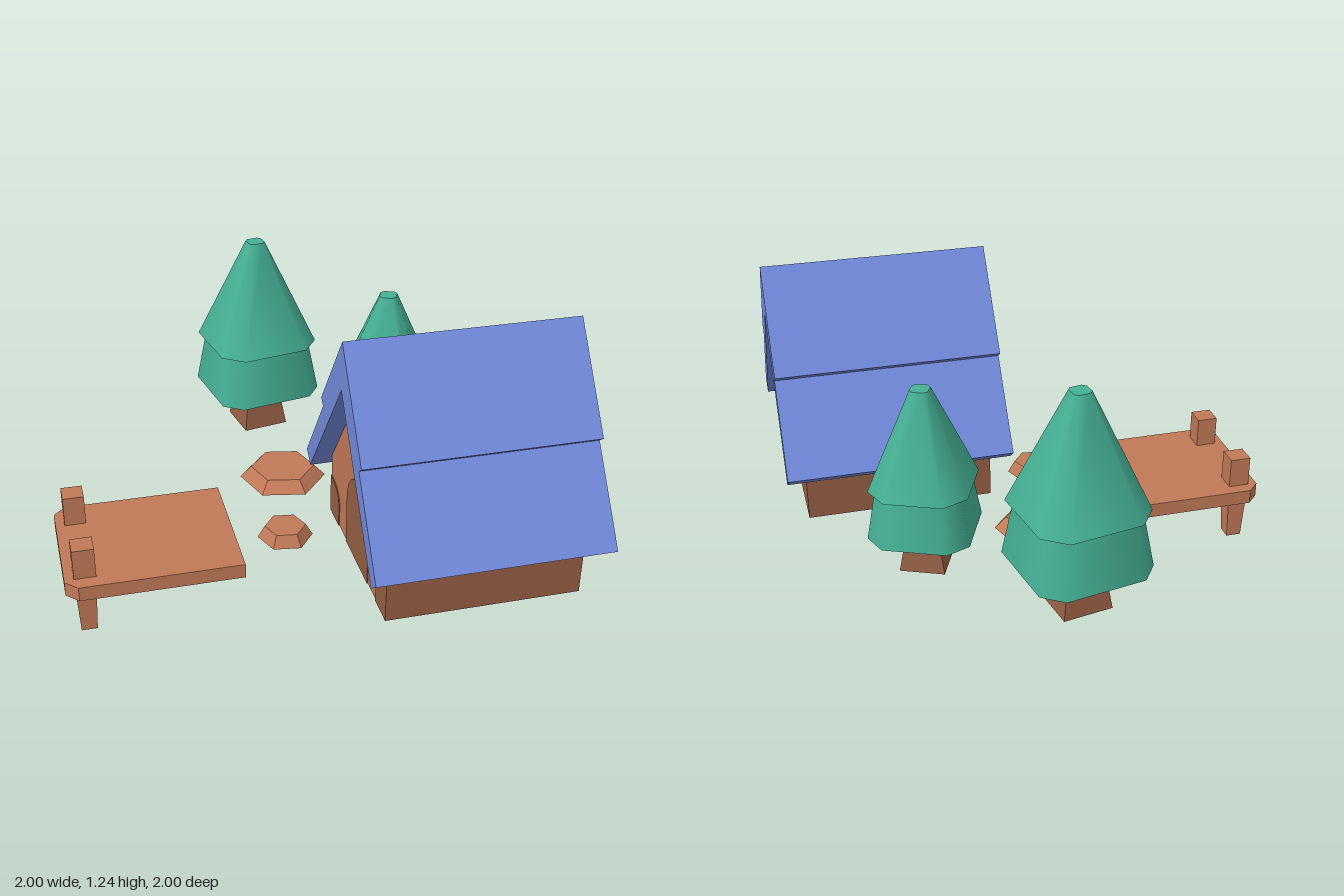
import * as THREE from 'three';

const material = (name, color, side = THREE.FrontSide) =>
  Object.assign(new THREE.MeshStandardMaterial({ color, side }), { name });

export function createModel() {
  const lightWood = material('light wood', 0xc17957, THREE.DoubleSide);
  const darkWood = material('dark wood', 0x955e44, THREE.DoubleSide);
  const roofBlue = material('roof blue', 0x7189da);
  const leafGreen = material('leaf green', 0x45b094);
  const model = new THREE.Group();

  const add = (parent, name, geo, mat, x = 0, y = 0, z = 0) => {
    const mesh = new THREE.Mesh(geo, mat);
    mesh.name = name;
    mesh.position.set(x, y, z);
    parent.add(mesh);
    return mesh;
  };
  const group = (name) => {
    const g = new THREE.Group();
    g.name = name;
    model.add(g);
    return g;
  };
  const faceted = (geo) => {
    const g = geo.toNonIndexed();
    g.computeVertexNormals();
    return g;
  };
  const polygon = (pts) => new THREE.Shape(pts.map(([x, y]) => new THREE.Vector2(x, y)));
  // Tapered square post given by half widths, standing on its origin
  const squarePost = (top, bottom, h) =>
    faceted(new THREE.CylinderGeometry(top * Math.SQRT2, bottom * Math.SQRT2, h, 4)
      .rotateY(Math.PI / 4).translate(0, h / 2, 0));
  // Shapes drawn in (z, y) are turned to face along x
  const facingX = (geo) => geo.rotateY(-Math.PI / 2);

  // ---- House ----
  const house = group('house');
  const ground = 0.26, band = 0.43, eave = 0.526;
  const x0 = 0.145, x1 = 0.92, z0 = 0.11, z1 = 0.89;

  // Roof: two overlapping courses on each slope
  const half = [[0, 1.24], [0.28, 0.865], [0.25, 0.842], [0.498, 0.505], [0.44, 0.46], [0, 1.04]];
  const mirrored = half.slice(1, 5).reverse().map(([z, y]) => [-z, y]);
  const profile = [...half, ...mirrored].map(([z, y]) => [z + 0.5, y]);
  add(house, 'roof', facingX(new THREE.ExtrudeGeometry(polygon(profile),
    { depth: 0.935, bevelEnabled: false })), roofBlue, 1);

  // Gable walls
  const gable = (bottom) => facingX(new THREE.ShapeGeometry(polygon(
    [[z0, bottom], [z1, bottom], [z1, eave], [0.5, 1.04], [z0, eave]])));
  add(house, 'plainGable', gable(band), lightWood, x1);
  add(house, 'doorGable', gable(ground), lightWood, x0);
  add(house, 'plainGableBase', new THREE.PlaneGeometry(z1 - z0, band - ground).rotateY(Math.PI / 2),
    darkWood, x1, (ground + band) / 2, 0.5);

  // Long walls: dark base and light strip under the eaves
  for (const [z, turn] of [[z1, 0], [z0, Math.PI]]) {
    for (const [name, lo, hi, mat] of [['wallBase', ground, band, darkWood], ['wallTop', band, eave, lightWood]]) {
      add(house, name, new THREE.PlaneGeometry(x1 - x0, hi - lo).rotateY(turn),
        mat, (x0 + x1) / 2, (lo + hi) / 2, z);
    }
  }

  // Arched door and the rounded panels at the wall ends
  const plate = (name, shape) => add(house, name, facingX(new THREE.ExtrudeGeometry(shape,
    { depth: 0.008, bevelEnabled: false, curveSegments: 8 })), darkWood, x0 + 0.004);
  const door = new THREE.Shape();
  door.moveTo(0.35, ground).lineTo(0.65, ground).lineTo(0.65, 0.47);
  door.absarc(0.5, 0.47, 0.15, 0, Math.PI, false);
  plate('door', door);
  for (const s of [-1, 1]) {
    const edge = 0.5 + s * 0.39, inner = 0.5 + s * 0.26;
    const panel = new THREE.Shape();
    panel.moveTo(edge, ground).lineTo(inner, ground).lineTo(inner, 0.35);
    panel.quadraticCurveTo(inner, band, edge, band);
    plate('cornerPanel', panel);
  }

  // ---- Dock ----
  const dock = group('dock');
  const deck = polygon([[-0.29, -0.42], [-0.29, 0.165], [-0.95, 0.165], [-1, 0.115], [-1, -0.37], [-0.95, -0.42]]);
  add(dock, 'deck', new THREE.ExtrudeGeometry(deck, { depth: 0.062, bevelEnabled: false })
    .rotateX(-Math.PI / 2), lightWood, 0, 0.2);
  for (const z of [0.315, -0.068]) {
    add(dock, 'postLeg', squarePost(0.041, 0.032, 0.2), lightWood, -0.918, 0, z);
    add(dock, 'postTop', squarePost(0.044, 0.044, 0.13), lightWood, -0.918, 0.262, z);
  }

  // ---- Stepping stones, hollow underneath ----
  for (const [x, z, top, bottom, turn] of [[0.007, -0.2, 0.138, 0.186, 0.33], [-0.09, 0.255, 0.084, 0.113, 0.38]]) {
    const stone = group('steppingStone');
    stone.position.set(x, ground, z);
    stone.rotation.y = turn;
    add(stone, 'stoneSide', faceted(new THREE.CylinderGeometry(top, bottom, 0.05, 6, 1, true)), lightWood, 0, 0.025);
    add(stone, 'stoneTop', new THREE.CircleGeometry(top, 6).rotateX(-Math.PI / 2).rotateY(Math.PI / 6), lightWood, 0, 0.05);
  }

  // ---- Trees ----
  // Smooth tapered tier whose plan is a square with cut corners
  const tier = (top, bottom, h, cut) => {
    const geo = new THREE.CylinderGeometry(top / 0.924, bottom / 0.924, h, 8, 1, false, Math.PI / 8);
    const p = geo.attributes.position;
    const widen = cut / 0.414;
    for (let i = 0; i < p.count; i++) {
      const x = p.getX(i), z = p.getZ(i);
      if (Math.abs(x) < Math.abs(z)) p.setX(i, x * widen);
      else p.setZ(i, z * widen);
    }
    return geo.translate(0, h / 2, 0);
  };
  const tree = (x, z, turn, t) => {
    const g = group('tree');
    g.position.set(x, 0, z);
    g.rotation.y = turn;
    add(g, 'trunk', squarePost(t.trunk[0], t.trunk[1], t.low - ground), darkWood, 0, ground);
    add(g, 'lowerBranches', tier(t.r * 0.82, t.r, t.mid - t.low + 0.02, t.cut), leafGreen, 0, t.low);
    add(g, 'upperBranches', tier(0.036, t.r * 0.97, t.top - t.mid, t.cut * 0.93), leafGreen, 0, t.mid);
  };
  tree(0.013, -0.74, 0.185, { r: 0.235, cut: 0.69, low: 0.45, mid: 0.685, top: 1.15, trunk: [0.074, 0.102] });
  tree(0.505, -0.325, -0.41, { r: 0.2, cut: 0.63, low: 0.423, mid: 0.625, top: 1.02, trunk: [0.062, 0.09] });

  return model;
}
